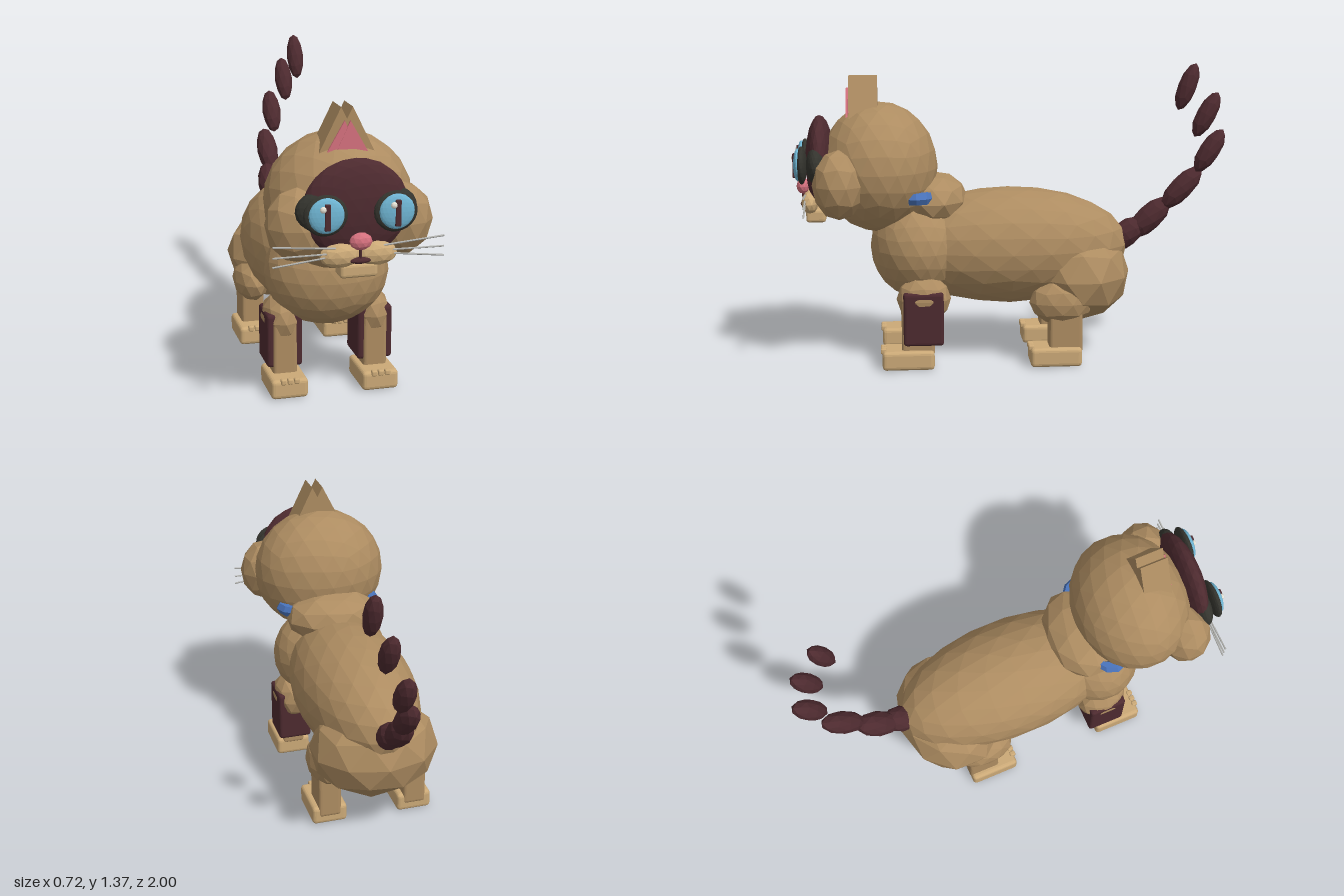
import * as THREE from 'three';
import { RoundedBoxGeometry } from 'three/addons/geometries/RoundedBoxGeometry.js';

const mat = (name, color) => {
  const m = new THREE.MeshStandardMaterial({ color, flatShading: true });
  m.name = name;
  return m;
};

export function createModel() {
  const cat = new THREE.Group();
  cat.name = 'cat';
  const tan = mat('tan fur', 0xad8c61);
  const cream = mat('cream fur', 0xcba977);
  const brown = mat('dark brown fur', 0x4d2a2f);
  const rim = mat('eye rim', 0x34342e);
  const blue = mat('iris blue', 0x6fb5d3);
  const pink = mat('pink skin', 0xd4707d);
  const grey = mat('whisker grey', 0xb0b0ac);
  const white = mat('eye shine', 0xe4e0d4);
  const collarBlue = mat('collar blue', 0x4a74bc);

  const add = (name, geo, material, pos = [0, 0, 0], parent = cat) => {
    const m = new THREE.Mesh(geo, material);
    m.name = name;
    m.position.set(...pos);
    parent.add(m);
    return m;
  };
  // Faceted ellipsoid with a vertex at the top pole
  const blob = (name, material, pos, r, detail = 3, parent = cat) => {
    const geo = new THREE.IcosahedronGeometry(1, detail);
    geo.rotateZ(Math.atan(2 / (1 + Math.sqrt(5))));
    geo.scale(...r);
    return add(name, geo, material, pos, parent);
  };
  // Box with narrow bevels
  const box = (name, material, pos, size, bevel = 0.015, parent = cat) =>
    add(name, new RoundedBoxGeometry(...size, 2, bevel), material, pos, parent);

  // Trunk
  blob('body', tan, [0, 0.525, 0], [0.28, 0.272, 0.56]);
  blob('chest', tan, [0, 0.53, 0.42], [0.28, 0.245, 0.225]);
  blob('haunches', tan, [0, 0.39, -0.32], [0.3, 0.23, 0.25], 1);
  blob('neck', tan, [0, 0.75, 0.36], [0.23, 0.125, 0.17], 1);

  // Collar, showing at the sides of the neck
  const collar = add('collar', new THREE.TorusGeometry(0.228, 0.03, 6, 16),
    collarBlue, [0, 0.782, 0.435]);
  collar.geometry.rotateX(Math.PI / 2);
  collar.geometry.scale(1, 1, 0.5);

  // Head and face
  blob('head', tan, [0, 0.9, 0.6], [0.32, 0.3, 0.27]);
  blob('faceMask', brown, [0, 0.93, 0.87], [0.225, 0.21, 0.065]);
  blob('nose', pink, [0, 0.815, 0.95], [0.048, 0.037, 0.03], 1);
  box('chin', cream, [0, 0.685, 0.89], [0.16, 0.062, 0.09]);
  blob('mouth', brown, [0, 0.733, 0.945], [0.046, 0.014, 0.018], 1);
  box('lipLine', brown, [0, 0.76, 0.945], [0.008, 0.05, 0.02], 0.002);

  const triangle = (points, depth) => new THREE.ExtrudeGeometry(
    new THREE.Shape(points.map(([x, y]) => new THREE.Vector2(x, y))),
    { depth, bevelEnabled: false });

  for (const s of [-1, 1]) {
    const side = s < 0 ? 'right' : 'left';
    blob(side + 'Cheek', tan, [s * 0.222, 0.85, 0.778], [0.135, 0.158, 0.12], 1);
    blob(side + 'Muzzle', cream, [s * 0.075, 0.75, 0.915], [0.09, 0.052, 0.04], 1);

    // Overlapping ears with pink plates in front
    const ear = [[-0.124, 1.12], [0.075, 1.12], [-0.025, 1.32]];
    const inner = [[-0.095, 1.12], [0.055, 1.12], [-0.012, 1.265]];
    const flip = (pts) => s < 0 ? pts : pts.map(([x, y]) => [-x, y]).reverse();
    add(side + 'Ear', triangle(flip(ear), 0.13), tan, [0, 0, 0.603]);
    add(side + 'InnerEar', triangle(flip(inner), 0.009), pink,
      [0, 0, 0.735 + (s > 0 ? 0.002 : 0)]);

    // Eye
    const eye = new THREE.Group();
    eye.name = side + 'Eye';
    eye.position.set(s * 0.146, 0.93, 0);
    cat.add(eye);
    blob('eyeSocket', rim, [s * 0.004, 0, 0.88], [0.106, 0.088, 0.045], 3, eye);
    blob('eyeRim', rim, [0, 0, 0.945], [0.092, 0.086, 0.024], 3, eye);
    blob('iris', blue, [0, 0.003, 0.962], [0.074, 0.074, 0.02], 3, eye);
    box('pupil', brown, [0, 0, 0.978], [0.024, 0.11, 0.014], 0.004, eye);
    blob('eyeShine', white, [-0.019, 0.034, 0.982], [0.014, 0.014, 0.01], 1, eye);

    // Whiskers fanning outwards
    [[0.787, 0.808], [0.766, 0.763], [0.755, 0.724]].forEach(([y0, y1], i) => {
      const a = new THREE.Vector3(s * 0.1, y0, 0.935);
      const b = new THREE.Vector3(s * 0.36, y1, 0.93);
      const path = new THREE.LineCurve3(a, b);
      add(side + 'Whisker' + (i + 1), new THREE.TubeGeometry(path, 1, 0.004, 6), grey);
    });

    // Legs
    const x = s * 0.206;
    blob(side + 'Shoulder', tan, [x, 0.32, 0.405], [0.086, 0.112, 0.124], 1);
    box(side + 'ForelegPatch', brown, [x, 0.238, 0.408], [0.16, 0.245, 0.182]);
    box(side + 'Foreleg', tan, [x, 0.2, 0.432], [0.108, 0.27, 0.15]);
    blob(side + 'Knee', tan, [x, 0.292, -0.225], [0.085, 0.105, 0.148], 1);
    box(side + 'HindLeg', tan, [x, 0.16, -0.243], [0.108, 0.24, 0.152]);
    for (const [name, z] of [['Front', 0.478], ['Hind', -0.197]]) {
      box(side + name + 'Paw', cream, [x, 0.047, z], [0.165, 0.088, 0.236], 0.018);
      for (const dx of [-0.03, 0, 0.03])
        box(side + name + 'Toe', cream, [x + dx, 0.085, z + 0.112],
          [0.025, 0.026, 0.028], 0.007);
    }
  }

  // Tail: tapering links, each [x, y, z, lean, half length, radius]
  [
    [0, 0.565, -0.555, 50, 0.1, 0.062],
    [-0.005, 0.64, -0.667, 47, 0.128, 0.06],
    [0.015, 0.785, -0.815, 44, 0.13, 0.053],
    [0.065, 0.965, -0.932, 33, 0.116, 0.048],
    [0.122, 1.14, -0.9, 28, 0.115, 0.045],
    [0.16, 1.272, -0.8, 21, 0.113, 0.042],
  ].forEach(([x, y, z, lean, half, r], i) => {
    const link = blob('tailLink' + (i + 1), brown, [x, y, z], [r, half, r], 1);
    link.rotation.x = -THREE.MathUtils.degToRad(lean);
  });

  return cat;
}
